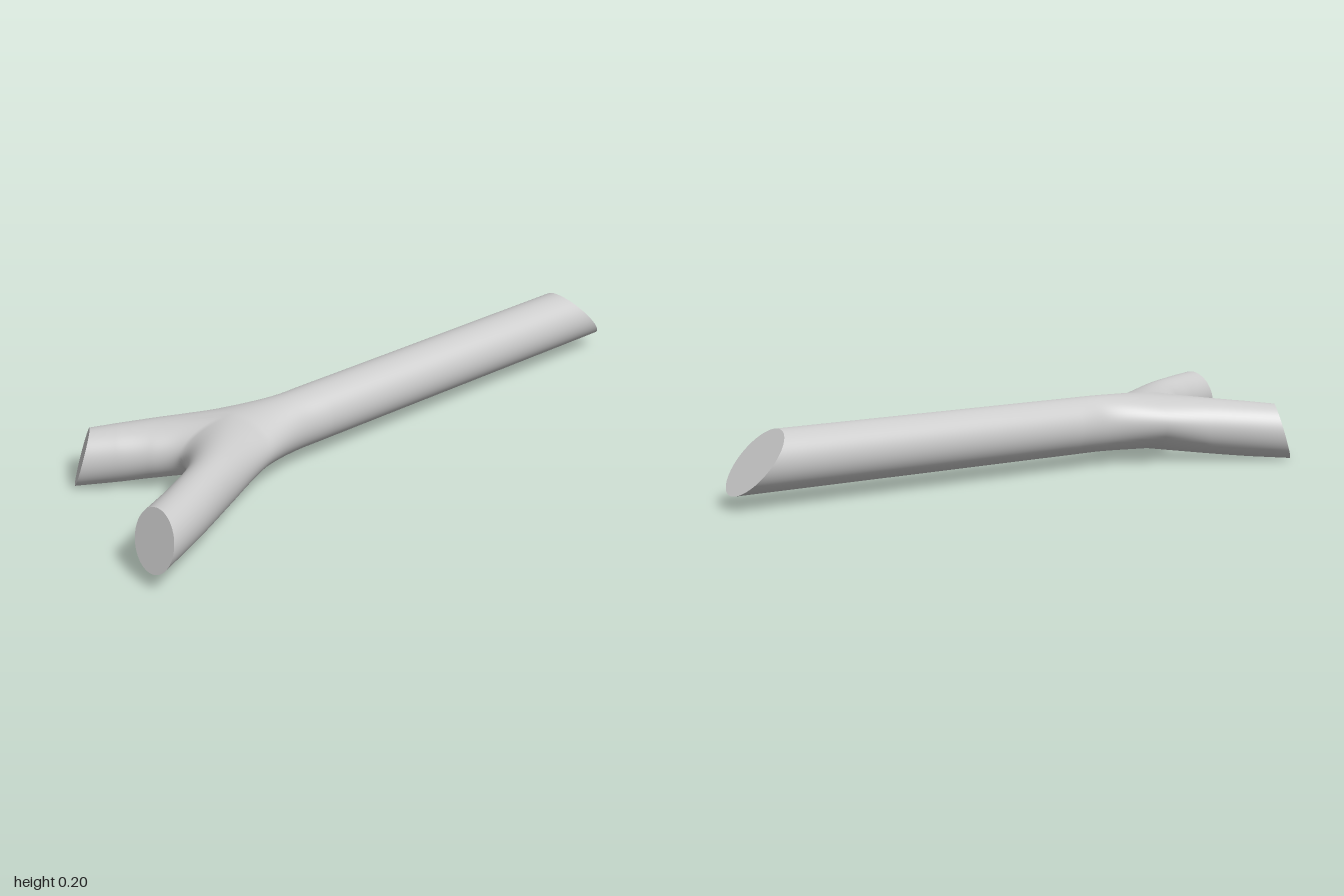
import * as THREE from 'three';
import { mergeVertices } from 'three/addons/utils/BufferGeometryUtils.js';

const STEPS = 14;            // rings between two stations
const LIMB = STEPS * 3;      // rings along one limb
const HALF = 28;             // segments around half a section
const FORK_HEIGHT = 0.083;

const curve = pts => new THREE.CatmullRomCurve3(pts.map(p => new THREE.Vector3(...p)));
const edge = pts => curve(pts.map(([x, z]) => [x, 0, z]));

// Centre lines from each cut end to the fork; lean is the slant of the cut
const fork = [-0.44, 0.117, -0.045];
const limbs = [
  { name: 'stem', half: 0.083, lean: 0.9,
    path: [[0.925, 0.12, -0.03], [-0.15, 0.12, -0.03], [-0.27, 0.12, -0.031], fork] },
  { name: 'frontArm', half: 0.078, lean: 0.4,
    path: [[-0.97, 0.122, 0.278], [-0.81, 0.121, 0.203], [-0.655, 0.12, 0.12], fork] },
  { name: 'backArm', half: 0.082, lean: 0.3,
    path: [[-0.771, 0.083, -0.305], [-0.685, 0.091, -0.244], [-0.6, 0.1, -0.184], fork] },
].map(l => {
  const line = curve(l.path);
  const out = line.points[0].clone().sub(line.points[1]).setY(0).normalize();
  return { ...l, line, out };
});

// Outlines in plan (x, z): each runs from one limb's end to the next limb's end
const edges = [
  edge([[0.925, 0.054], [-0.15, 0.054], [-0.27, 0.057], [-0.42, 0.095], [-0.62, 0.185], [-0.8, 0.277], [-0.97, 0.357]]),
  edge([[-0.97, 0.198], [-0.82, 0.13], [-0.69, 0.052], [-0.622, -0.055], [-0.675, -0.125], [-0.74, -0.185], [-0.815, -0.25]]),
  edge([[-0.727, -0.36], [-0.63, -0.303], [-0.53, -0.243], [-0.42, -0.182], [-0.27, -0.116], [-0.15, -0.114], [0.925, -0.114]]),
];

// Half an elliptical section, from the top ridge out to the outline and under
function halfRing(i, k) {
  const first = k <= LIMB;
  const limb = limbs[first ? i : (i + 1) % 3];
  const t = (first ? k : 2 * LIMB - k) / LIMB;
  const mid = limb.line.getPoint(t);
  const side = edges[i].getPoint(k / (2 * LIMB)).setY(mid.y).sub(mid);
  const h = THREE.MathUtils.lerp(limb.half, FORK_HEIGHT, t);
  const slant = limb.lean * Math.max(0, 1 - 3 * t);
  const ring = [];
  for (let j = 0; j <= HALF; j++) {
    const a = Math.PI * j / HALF;
    const y = h * Math.cos(a);
    const p = mid.clone().addScaledVector(side, Math.sin(a)).addScaledVector(limb.out, -slant * y);
    p.y += y;
    ring.push(p);
  }
  return ring;
}

function buildGeometry(points, index) {
  const g = new THREE.BufferGeometry().setFromPoints(points);
  g.setIndex(index);
  return g;
}

// Three half-tubes sharing their ridges form the smooth fork
function barkGeometry() {
  const points = [], index = [];
  for (let i = 0; i < 3; i++) {
    const base = points.length;
    for (let k = 0; k <= 2 * LIMB; k++) points.push(...halfRing(i, k));
    for (let k = 0; k < 2 * LIMB; k++) {
      for (let j = 0; j < HALF; j++) {
        const a = base + k * (HALF + 1) + j, b = a + 1, c = a + HALF + 1;
        index.push(a, c, b, b, c, c + 1);
      }
    }
  }
  const g = mergeVertices(buildGeometry(points, index), 1e-5);
  g.computeVertexNormals();
  return g;
}

// Flat slanted face closing one limb
function cutGeometry(i) {
  const ring = [
    ...halfRing(i, 0).slice(0, -1),
    ...halfRing((i + 2) % 3, 2 * LIMB).reverse().slice(0, -1),
  ];
  const n = ring.length, index = [];
  for (let j = 0; j < n; j++) index.push(n, j, (j + 1) % n);
  const centre = ring.reduce((s, p) => s.add(p), new THREE.Vector3()).divideScalar(n);
  const g = buildGeometry([...ring, centre], index);
  g.computeVertexNormals();
  return g;
}

export function createModel() {
  const group = new THREE.Group();
  group.name = 'forkedBranch';
  const material = new THREE.MeshStandardMaterial({ color: 0xcccccc });
  const add = (name, geometry) => {
    const mesh = new THREE.Mesh(geometry, material);
    mesh.name = name;
    group.add(mesh);
  };
  add('branchSurface', barkGeometry());
  limbs.forEach((l, i) => add(l.name + 'CutFace', cutGeometry(i)));
  return group;
}
